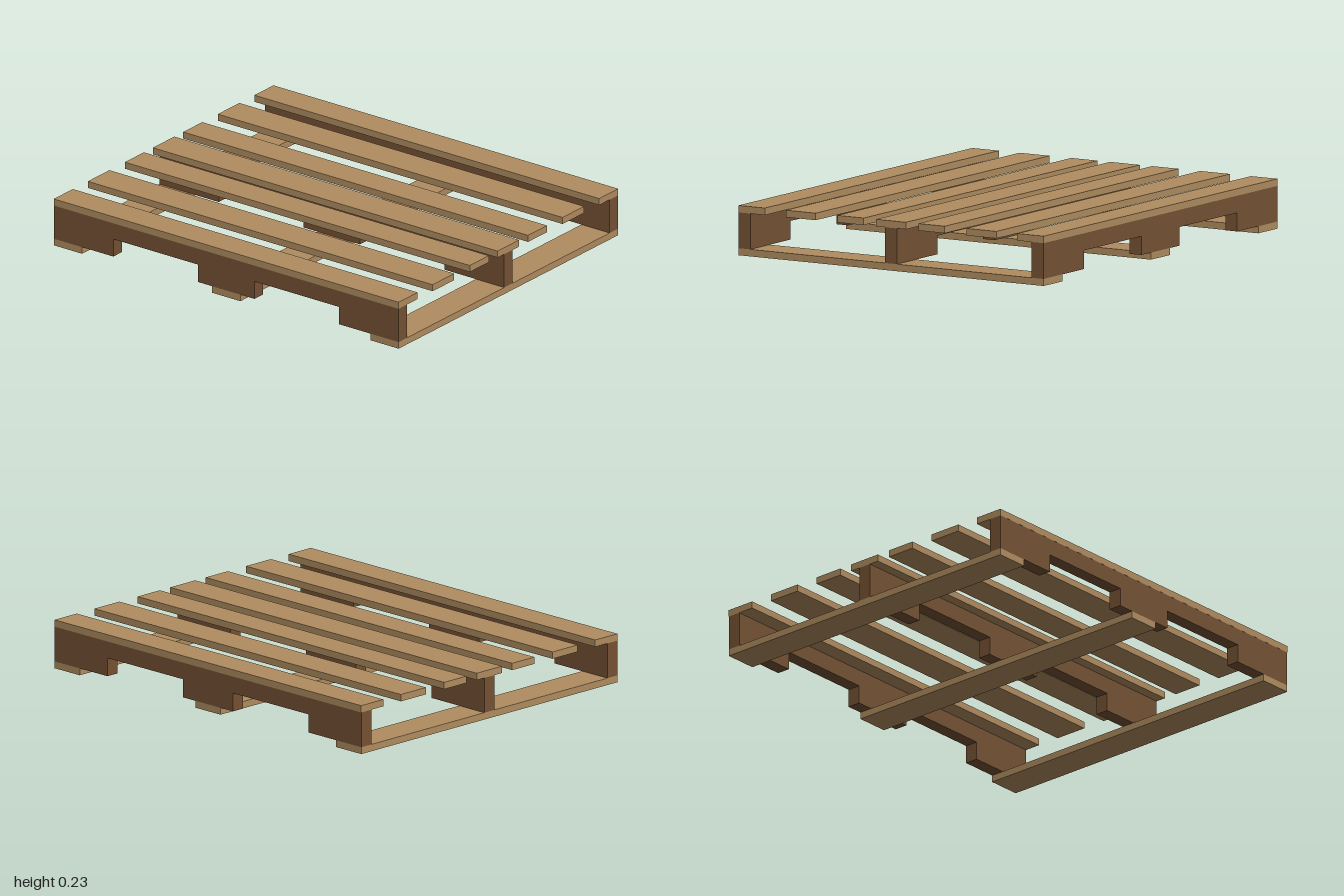
import * as THREE from 'three';

export function createModel() {
  const model = new THREE.Group();
  model.name = 'pallet';

  const lightWood = new THREE.MeshStandardMaterial({ color: 0xb08d60 });
  lightWood.name = 'light wood';
  const darkWood = new THREE.MeshStandardMaterial({ color: 0x755234 });
  darkWood.name = 'dark wood';

  const HALF_DEPTH = 0.836;
  const BOARD = 0.033; // board thickness
  const STRINGER_TOP = 0.2;
  const NOTCH_TOP = 0.12;

  function addBoard(name, w, d, x, y, z) {
    const board = new THREE.Mesh(new THREE.BoxGeometry(w, BOARD, d), lightWood);
    board.name = name;
    board.position.set(x, y, z);
    model.add(board);
  }

  // Deck boards across the top: [centre z, width]
  const deck = [[-0.764, 0.145], [-0.495, 0.164], [-0.222, 0.145], [0, 0.164],
    [0.222, 0.145], [0.495, 0.164], [0.764, 0.145]];
  deck.forEach(([z, d], i) =>
    addBoard(`deckBoard${i + 1}`, 2, d, 0, STRINGER_TOP + BOARD / 2, z));

  // Bottom boards running front to back
  [['bottomBoardRight', -0.918], ['bottomBoardMiddle', 0], ['bottomBoardLeft', 0.918]]
    .forEach(([name, x]) => addBoard(name, 0.164, HALF_DEPTH * 2, x, BOARD / 2, 0));

  // Stringers with two fork notches cut into the lower edge
  const outline = new THREE.Shape([
    [-1, BOARD], [-0.655, BOARD], [-0.655, NOTCH_TOP], [-0.164, NOTCH_TOP], [-0.164, BOARD],
    [0.164, BOARD], [0.164, NOTCH_TOP], [0.655, NOTCH_TOP], [0.655, BOARD], [1, BOARD],
    [1, STRINGER_TOP], [-1, STRINGER_TOP],
  ].map(([x, y]) => new THREE.Vector2(x, y)));
  const thickness = 0.065;
  const stringerGeometry = new THREE.ExtrudeGeometry(outline, { depth: thickness, bevelEnabled: false });
  stringerGeometry.translate(0, 0, -thickness / 2);
  const edge = HALF_DEPTH - thickness / 2;
  [['stringerBack', -edge], ['stringerMiddle', 0], ['stringerFront', edge]].forEach(([name, z]) => {
    const stringer = new THREE.Mesh(stringerGeometry, darkWood);
    stringer.name = name;
    stringer.position.z = z;
    model.add(stringer);
  });

  return model;
}
